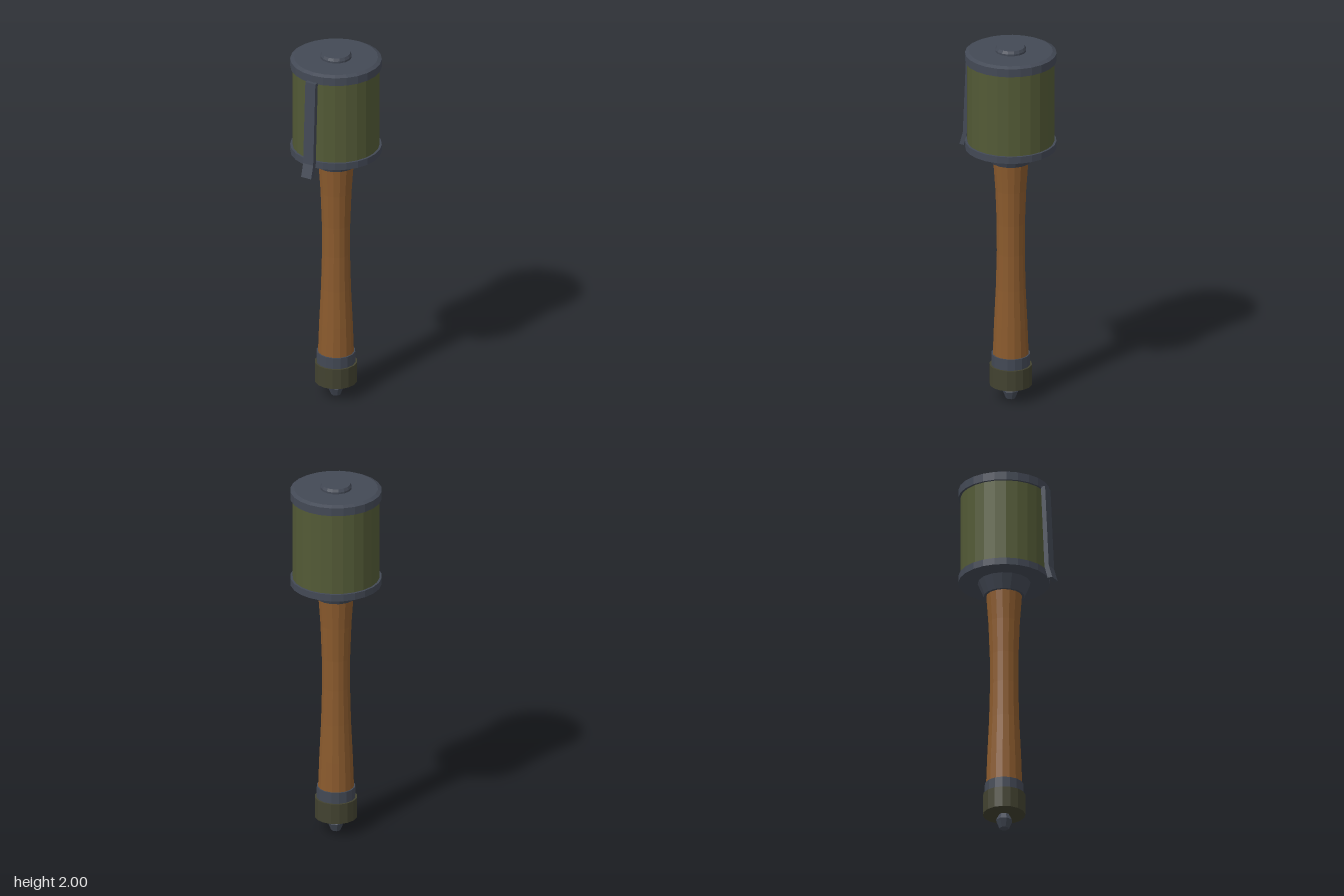
import * as THREE from 'three';

const flat = (name, color) => {
  const m = new THREE.MeshStandardMaterial({ color, flatShading: true });
  m.name = name;
  return m;
};

export function createModel() {
  const steel = flat('steel', 0x434955);
  const olive = flat('olive paint', 0x535a36);
  const darkOlive = flat('dark olive', 0x424230);
  const wood = flat('wood', 0x8a5a2d);

  const model = new THREE.Group();
  model.name = 'stickProp';
  const axis = -0.031; // the round parts sit slightly behind centre

  // Turned part from [radius, height] pairs, bottom to top, closed at both ends
  const turned = (name, material, sides, profile) => {
    const first = profile[0], last = profile[profile.length - 1];
    const pts = [[0, first[1]], ...profile, [0, last[1]]].map(([r, y]) => new THREE.Vector2(r, y));
    const mesh = new THREE.Mesh(new THREE.LatheGeometry(pts, sides), material);
    mesh.name = name;
    mesh.position.z = axis;
    model.add(mesh);
  };

  // Head
  turned('headBody', olive, 24, [[0.23, 1.45], [0.23, 1.93]]);
  turned('topRim', steel, 24, [[0.242, 1.92], [0.242, 1.965], [0.222, 1.975]]);
  turned('topKnob', steel, 16, [[0.083, 1.97], [0.083, 1.985], [0.075, 2]]);
  turned('bottomRim', steel, 24, [[0.242, 1.427], [0.242, 1.465]]);
  turned('neckCollar', steel, 16, [[0.108, 1.35], [0.14, 1.427]]);

  // Waisted wooden handle
  turned('handle', wood, 16, [
    [0.096, 0.25], [0.09, 0.42], [0.08, 0.63], [0.075, 0.83],
    [0.076, 1.0], [0.083, 1.19], [0.095, 1.36],
  ]);

  // Foot: band, screw cap and pull bead
  turned('footBand', steel, 16, [[0.103, 0.18], [0.103, 0.255]]);
  turned('footCap', darkOlive, 16, [[0.113, 0.08], [0.113, 0.193]]);
  turned('pullBead', steel, 8, [[0.026, 0], [0.045, 0.045], [0.024, 0.085]]);

  // Bent belt clip, drawn in side outline (z, y) and extruded across x
  const outline = [
    [0.203, 1.927], [0.228, 1.927], [0.25, 1.46],
    [0.271, 1.388], [0.243, 1.388], [0.224, 1.46],
  ].map(([z, y]) => new THREE.Vector2(-z, y));
  const clipGeometry = new THREE.ExtrudeGeometry(new THREE.Shape(outline), { depth: 0.062, bevelEnabled: false });
  clipGeometry.translate(0, 0, -0.031);
  clipGeometry.rotateY(Math.PI / 2);
  const clip = new THREE.Mesh(clipGeometry, steel);
  clip.name = 'beltClip';
  model.add(clip);

  return model;
}
